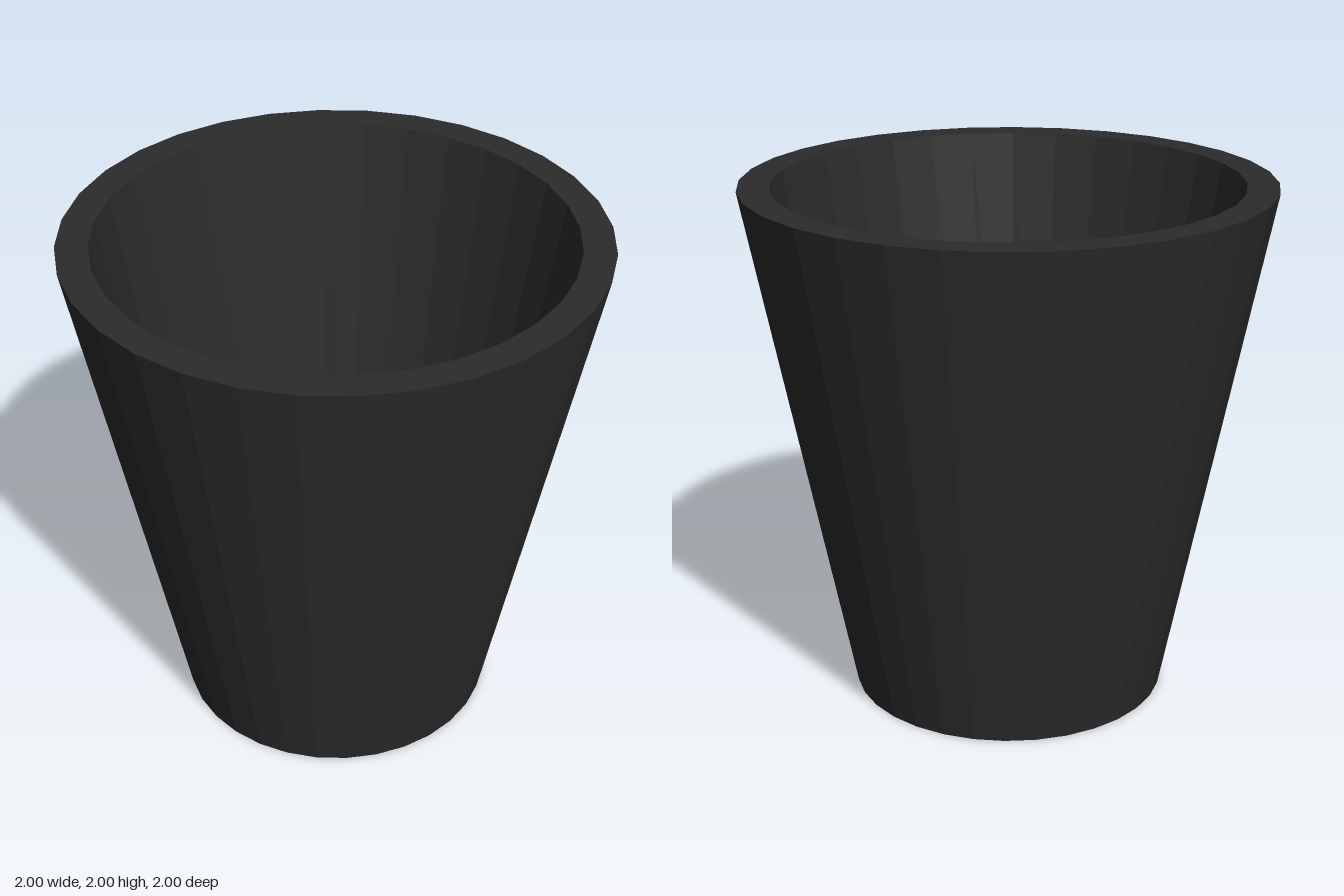
import * as THREE from 'three';

const SIDES = 32;

export function createModel() {
  const group = new THREE.Group();
  group.name = 'pot';
  const material = new THREE.MeshStandardMaterial({ color: 0x2b2b2b, flatShading: true });

  const addLathe = (name, profile) => {
    const points = profile.map(([r, y]) => new THREE.Vector2(r, y));
    const mesh = new THREE.Mesh(new THREE.LatheGeometry(points, SIDES), material);
    mesh.name = name;
    group.add(mesh);
  };

  // Tapered wall: foot recess, foot ring, outer side, flat rim, inner side
  addLathe('wall', [[0.53, 0.05], [0.525, 0], [0.607, 0], [1, 2], [0.88, 2], [0.57, 0.21]]);
  // Floor seen from inside, and the recessed underside
  addLathe('floor', [[0.57, 0.21], [0, 0.21]]);
  addLathe('underside', [[0, 0.05], [0.53, 0.05]]);

  return group;
}
